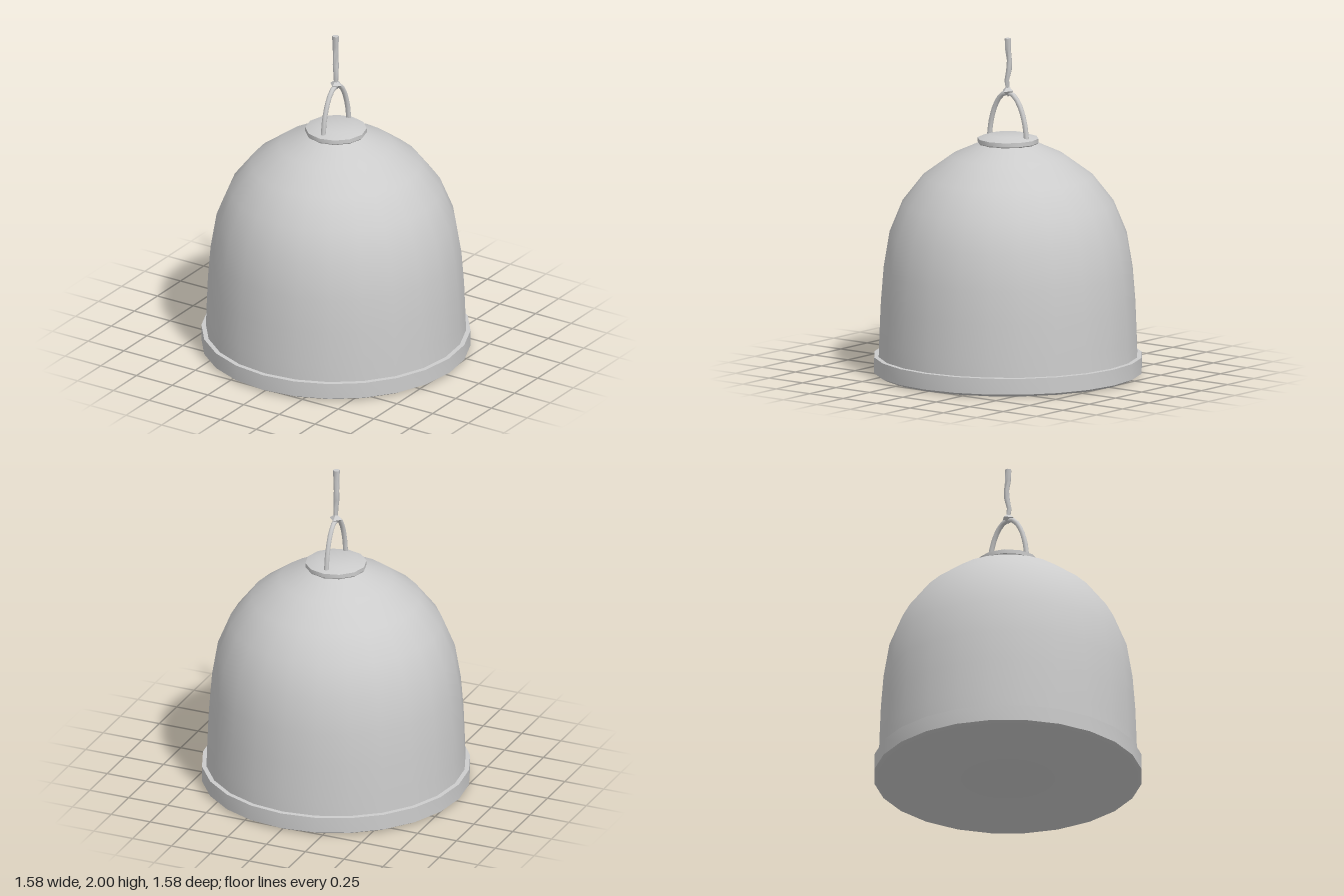
import * as THREE from 'three';
import { toCreasedNormals } from 'three/addons/utils/BufferGeometryUtils.js';

const material = new THREE.MeshStandardMaterial({ color: 0xcccccc });

function addPart(group, name, geometry) {
  const mesh = new THREE.Mesh(geometry, material);
  mesh.name = name;
  group.add(mesh);
  return mesh;
}

// Profile is [radius, height] from bottom to top
function turned(profile, sides, crease = 0.6) {
  const points = profile.map(([r, y]) => new THREE.Vector2(r, y));
  return toCreasedNormals(new THREE.LatheGeometry(points, sides), crease);
}

export function createModel() {
  const group = new THREE.Group();

  // Base rim with a closed, slightly bevelled underside
  addPart(group, 'rim', turned(
    [[0, 0], [0.765, 0], [0.792, 0.015], [0.792, 0.11], [0.75, 0.112]], 24));

  // Dome-shaped shell
  addPart(group, 'dome', turned([
    [0.766, 0.1], [0.762, 0.22], [0.754, 0.42], [0.738, 0.62], [0.703, 0.83],
    [0.625, 1.02], [0.5, 1.18], [0.335, 1.3], [0.17, 1.375],
  ], 24));

  // Twelve-sided cap on the crown
  addPart(group, 'cap', turned(
    [[0, 1.37], [0.172, 1.37], [0.181, 1.38], [0.181, 1.405], [0.11, 1.427], [0, 1.427]], 12));

  // Arched handle spanning front to back
  const arch = new THREE.CatmullRomCurve3(
    [[-0.138, 1.41], [-0.125, 1.5], [-0.09, 1.6], [-0.045, 1.66], [0, 1.677],
      [0.045, 1.66], [0.09, 1.6], [0.125, 1.5], [0.138, 1.41]]
      .map(([z, y]) => new THREE.Vector3(0, y, z)));
  addPart(group, 'handle', new THREE.TubeGeometry(arch, 16, 0.015, 8));

  // Small knot where the cord meets the handle
  const knot = addPart(group, 'knot', new THREE.OctahedronGeometry(0.04));
  knot.scale.y = 0.85;
  knot.position.y = 1.686;

  // Uneven cord: each ring is [height, x offset, z offset, radius]
  const rings = [
    [2.0, -0.002, 0.003, 0.02], [1.93, -0.002, 0.001, 0.018],
    [1.87, -0.006, -0.006, 0.016], [1.81, -0.004, -0.004, 0.018],
    [1.75, 0.004, 0.006, 0.015], [1.69, 0, 0, 0.012],
  ];
  const cord = new THREE.CylinderGeometry(1, 1, 1, 6, rings.length - 1);
  const pos = cord.attributes.position;
  for (let i = 0; i < pos.count; i++) {
    const row = Math.round((0.5 - pos.getY(i)) * (rings.length - 1));
    const [y, x, z, r] = rings[row];
    pos.setXYZ(i, x + pos.getX(i) * r, y, z + pos.getZ(i) * r);
  }
  addPart(group, 'cord', toCreasedNormals(cord, 1.1));

  return group;
}
